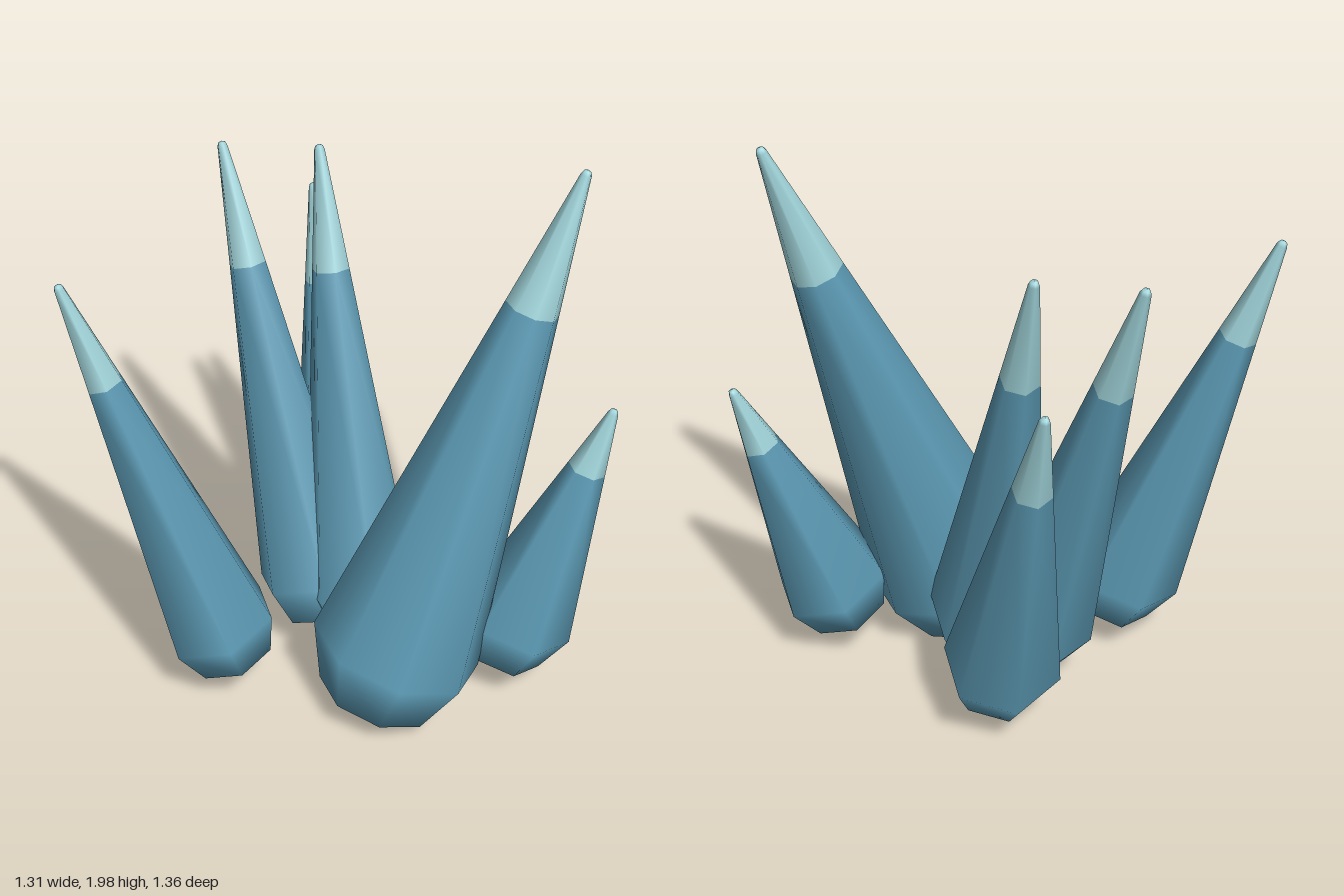
import * as THREE from 'three';

const TIP_RADIUS = 0.018;
const TIP_START = 0.74; // fraction of the length where the pale tip begins

export function createModel() {
  const group = new THREE.Group();
  group.name = 'spikeCluster';

  const bodyMat = new THREE.MeshStandardMaterial({ color: 0x5c9ab4 });
  bodyMat.name = 'slate blue';
  const tipMat = new THREE.MeshStandardMaterial({ color: 0xa0d4da });
  tipMat.name = 'pale ice blue';

  // Turned part with a vertex on the +x axis
  const turned = (name, points, sides, material) => {
    const profile = points.map(([r, y]) => new THREE.Vector2(r, y));
    const mesh = new THREE.Mesh(new THREE.LatheGeometry(profile, sides, Math.PI / 2), material);
    mesh.name = name;
    return mesh;
  };

  // Tapered spike: faceted round base, straight cone, small rounded tip
  const spike = (name, base, tip, radius, sides) => {
    const from = new THREE.Vector3(...base);
    const axis = new THREE.Vector3(...tip).sub(from);
    const length = axis.length() - TIP_RADIUS;
    const k = Math.SQRT1_2;
    const cut = length * TIP_START;
    const cutRadius = radius + (TIP_RADIUS - radius) * TIP_START;

    const part = new THREE.Group();
    part.name = name;
    part.add(
      turned('spikeBody', [[0, -radius], [radius * k, -radius * k], [radius, 0], [cutRadius, cut]], sides, bodyMat),
      turned('spikeTip', [
        [cutRadius, cut], [TIP_RADIUS, length],
        [TIP_RADIUS * k, length + TIP_RADIUS * k], [0, length + TIP_RADIUS],
      ], sides, tipMat),
    );
    part.position.copy(from);
    part.quaternion.setFromUnitVectors(new THREE.Vector3(0, 1, 0), axis.normalize());
    group.add(part);
  };

  spike('mainSpike', [0, 0.295, 0.3], [0.555, 2.0, 0.53], 0.295, 8);
  spike('rightSpike', [-0.36, 0.3, -0.2], [-0.645, 1.63, -0.575], 0.2, 6);
  spike('backSpike', [0.065, 0.3, -0.17], [0.14, 1.8, -0.67], 0.2, 6);
  spike('middleSpike', [0.13, 0.3, 0], [0.34, 1.81, -0.415], 0.2, 6);
  spike('backLeftSpike', [0.31, 0.3, -0.25], [0.517, 1.515, -0.625], 0.2, 6);
  spike('frontLeftSpike', [0.38, 0.3, 0.505], [0.643, 1.13, 0.65], 0.2, 6);

  return group;
}
